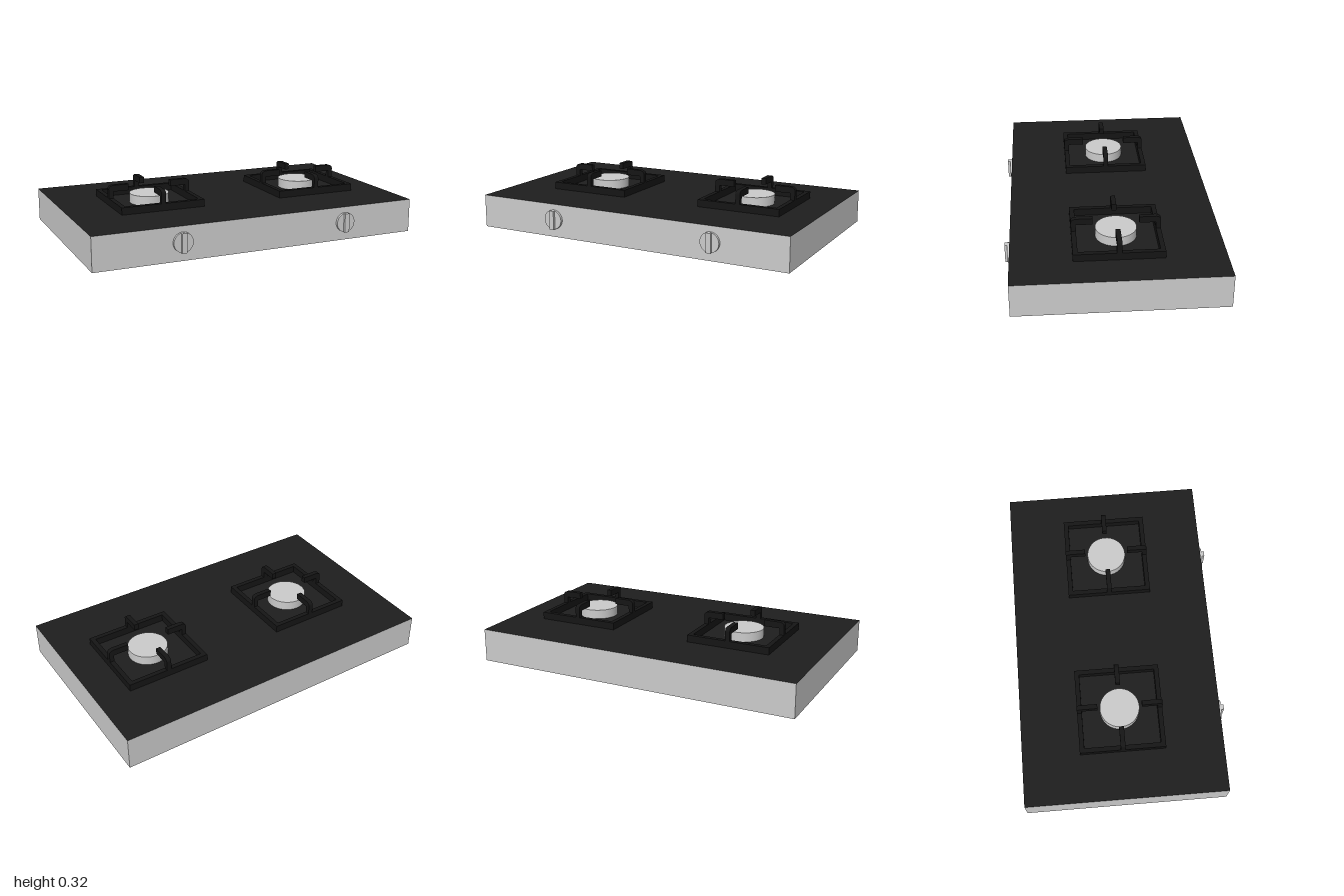
import * as THREE from 'three';

const grey = new THREE.MeshStandardMaterial({ color: 0xcccccc });
const black = new THREE.MeshStandardMaterial({ color: 0x1e1e1e });
const iron = new THREE.MeshStandardMaterial({ color: 0x151515 });

function add(parent, name, geometry, material, x = 0, y = 0, z = 0) {
  const mesh = new THREE.Mesh(geometry, material);
  mesh.name = name;
  mesh.position.set(x, y, z);
  parent.add(mesh);
  return mesh;
}

const TOP = 0.2, FRONT = 0.585, BACK = -0.615;
const HALF = 0.255, BAR = 0.028, BAR_H = 0.043;

// Square ring with an open middle, lying flat
function frameGeometry() {
  const square = (shape, h) => {
    shape.moveTo(-h, -h);
    shape.lineTo(h, -h);
    shape.lineTo(h, h);
    shape.lineTo(-h, h);
    shape.closePath();
    return shape;
  };
  const outer = square(new THREE.Shape(), HALF);
  outer.holes.push(square(new THREE.Path(), HALF - BAR));
  return new THREE.ExtrudeGeometry(outer, { depth: BAR_H, bevelEnabled: false }).rotateX(-Math.PI / 2);
}

// Upright finger with a rounded shoulder, pointing in to the burner
function fingerGeometry() {
  const s = new THREE.Shape();
  s.moveTo(HALF, 0);
  s.lineTo(HALF, 0.1);
  s.quadraticCurveTo(HALF, 0.116, HALF - 0.025, 0.121);
  s.lineTo(0.132, 0.121);
  s.lineTo(0.132, 0.083);
  s.lineTo(HALF - BAR, 0.083);
  s.lineTo(HALF - BAR, 0);
  s.closePath();
  return new THREE.ExtrudeGeometry(s, { depth: BAR, bevelEnabled: false, curveSegments: 4 })
    .translate(0, 0, -BAR / 2);
}

function createBurner(x) {
  const burner = new THREE.Group();
  burner.name = 'burner';
  burner.position.set(x, TOP, -0.017);
  add(burner, 'burnerCap', new THREE.CylinderGeometry(0.118, 0.118, 0.056, 48), grey, 0, 0.028, 0);
  add(burner, 'grateFrame', frameGeometry(), iron);
  const finger = fingerGeometry();
  for (let i = 0; i < 4; i++) {
    add(burner, 'grateFinger', finger, iron).rotation.y = i * Math.PI / 2;
  }
  return burner;
}

// Round dial with a vertical grip bar
function createKnob(x) {
  const knob = new THREE.Group();
  knob.name = 'knob';
  knob.position.set(x, 0.108, FRONT);
  const dial = new THREE.CylinderGeometry(0.058, 0.058, 0.015, 40).rotateX(Math.PI / 2);
  add(knob, 'knobDial', dial, grey, 0, 0, 0.0075);
  add(knob, 'knobGrip', new THREE.BoxGeometry(0.03, 0.113, 0.03), grey, 0, 0, 0.015);
  return knob;
}

export function createModel() {
  const model = new THREE.Group();
  model.name = 'gasHob';

  // Body with a black cooking surface on its upper face
  add(model, 'body', new THREE.BoxGeometry(2, TOP, FRONT - BACK),
    [grey, grey, black, grey, grey, grey], 0, TOP / 2, (FRONT + BACK) / 2);

  for (const x of [-0.463, 0.545]) model.add(createBurner(x));
  for (const x of [-0.485, 0.542]) model.add(createKnob(x));
  return model;
}
